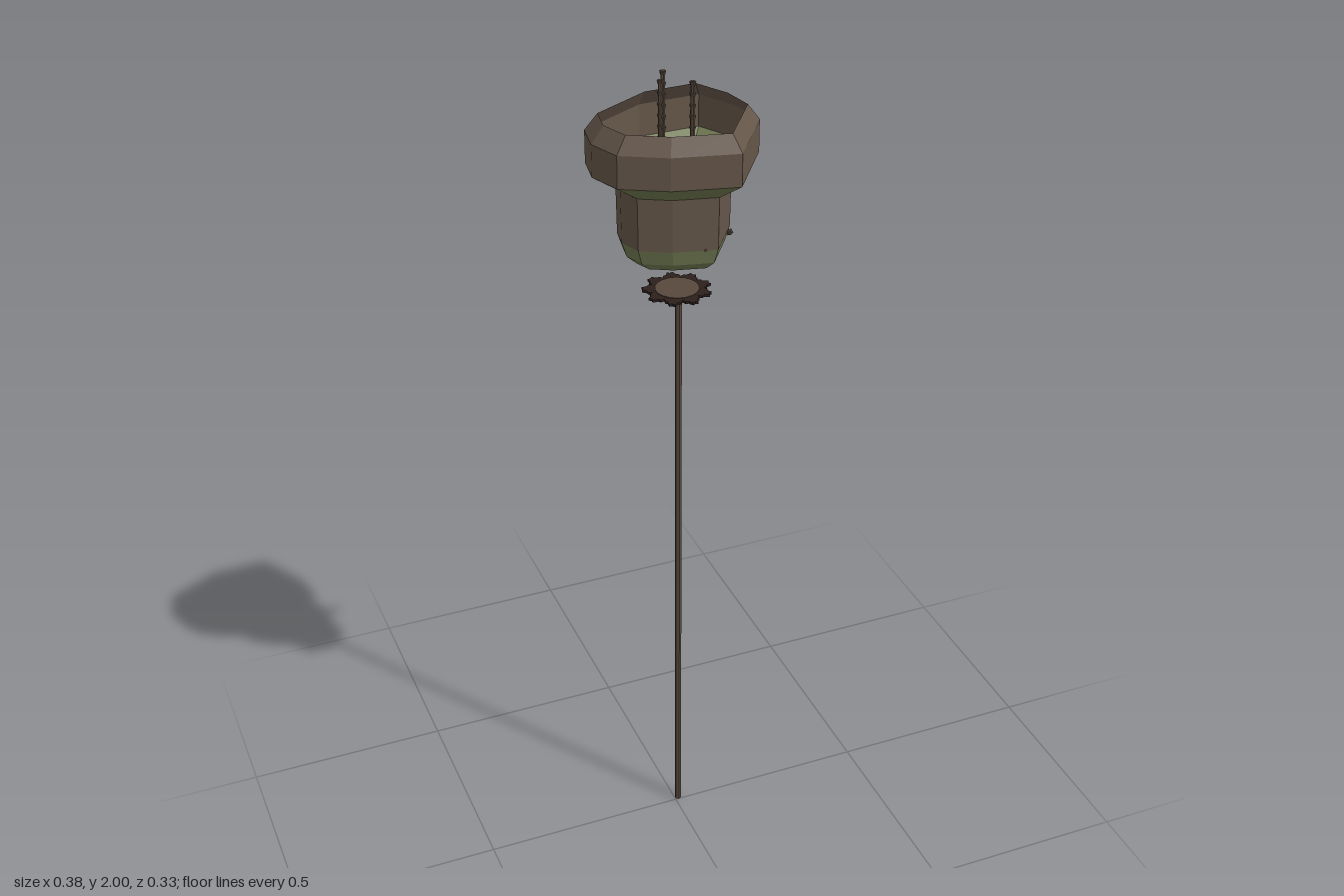
import * as THREE from 'three';

const bark = new THREE.MeshStandardMaterial({ name: 'brown clay', color: 0x66574a, side: THREE.DoubleSide });
const moss = new THREE.MeshStandardMaterial({ name: 'moss green', color: 0x717a52, side: THREE.DoubleSide });
const twig = new THREE.MeshStandardMaterial({ name: 'twig brown', color: 0x57483d });
const dark = new THREE.MeshStandardMaterial({ name: 'dark petal', color: 0x2c201c });
for (const m of [bark, moss, twig, dark]) m.flatShading = true;

// Irregular nine-sided plan of the pot, as x, z
const plan = [[-0.02, -0.162], [0.122, -0.166], [0.173, -0.075], [0.19, 0.01], [0.083, 0.163],
  [-0.063, 0.128], [-0.162, 0.075], [-0.191, 0], [-0.178, -0.077]];

// Shell between scaled copies of the plan, given as [scale, y] from top to bottom
function shell(rings) {
  const pos = [];
  const point = (r, j) => {
    const [x, z] = plan[j % plan.length];
    return [x * rings[r][0], rings[r][1], z * rings[r][0]];
  };
  for (let r = 0; r < rings.length - 1; r++) {
    for (let j = 0; j < plan.length; j++) {
      const a = point(r, j), b = point(r, j + 1), c = point(r + 1, j + 1), d = point(r + 1, j);
      pos.push(...a, ...b, ...c);
      if (rings[r + 1][0] > 0) pos.push(...a, ...c, ...d);
    }
  }
  const g = new THREE.BufferGeometry();
  g.setAttribute('position', new THREE.Float32BufferAttribute(pos, 3));
  g.computeVertexNormals();
  return g;
}

export function createModel() {
  const model = new THREE.Group();
  const add = (name, geo, mat, parent = model) => {
    const m = new THREE.Mesh(geo, mat);
    m.name = name;
    parent.add(m);
    return m;
  };
  // Straight rod between two points
  const rod = (name, from, to, radius, parent, mat = twig) => {
    const a = new THREE.Vector3(...from), b = new THREE.Vector3(...to);
    const m = add(name, new THREE.CylinderGeometry(radius, radius, a.distanceTo(b), 6), mat, parent);
    m.position.copy(a).lerp(b, 0.5);
    m.quaternion.setFromUnitVectors(new THREE.Vector3(0, 1, 0), b.sub(a).normalize());
    return m;
  };

  // Open pot
  const pot = new THREE.Group();
  pot.name = 'pot';
  model.add(pot);
  add('potRim', shell([[0.85, 1.918], [1, 1.88], [1, 1.805]]), bark, pot);
  add('potShelf', shell([[1, 1.805], [0.67, 1.763]]), moss, pot);
  add('potWall', shell([[0.67, 1.763], [0.66, 1.64]]), bark, pot);
  add('potBottom', shell([[0.66, 1.64], [0.6, 1.605], [0.48, 1.585], [0.27, 1.58], [0, 1.58]]), moss, pot);

  // Three upright stems with knots, joined by struts
  const stems = new THREE.Group();
  stems.name = 'stems';
  model.add(stems);
  const feet = [[0.024, 0.034], [-0.036, 0.002], [-0.012, -0.044]];
  feet.forEach(([x, z], i) => {
    rod('stem', [x, 1.59, z], [x, 2, z], 0.005, stems);
    for (let k = 0; k < 16; k++) {
      const knot = add('stemKnot', new THREE.CylinderGeometry(0.0075, 0.0055, 0.008, 6), twig, stems);
      knot.position.set(x, 1.62 + k * 0.025, z);
    }
    const [nx, nz] = feet[(i + 1) % 3];
    rod('strut', [x, 1.66, z], [nx, 1.66, nz], 0.004, stems);
  });

  // Bent side twigs inside the pot
  rod('frontTwig', [0.02, 1.65, 0.03], [0.03, 1.64, 0.102], 0.0045, stems);
  rod('sideTwig', [0, 1.67, -0.03], [0.03, 1.66, 0.01], 0.006, stems);
  rod('sideTwig', [0.01, 1.66, -0.018], [0.055, 1.66, -0.034], 0.0045, stems);
  rod('sideTwig', [0.055, 1.66, -0.034], [0.055, 1.66, -0.084], 0.0045, stems);
  rod('shortTwig', [0.024, 1.65, 0.034], [0.037, 1.66, 0.01], 0.004, stems);

  // Knotted branch that pushes out through the back and the side of the pot
  const path = new THREE.CatmullRomCurve3([[0.005, 1.665, -0.118], [0.04, 1.645, -0.092],
    [0.085, 1.628, -0.062], [0.107, 1.618, -0.036], [0.14, 1.605, -0.028]].map(p => new THREE.Vector3(...p)));
  add('branch', new THREE.TubeGeometry(path, 20, 0.006, 6), twig);
  for (let k = 0; k <= 16; k++) {
    add('branchKnot', new THREE.IcosahedronGeometry(0.0085, 0), twig).position.copy(path.getPoint(k / 16));
  }

  // Lobed disc on top of the pole
  const outline = new THREE.Shape();
  const count = 72;
  for (let k = 0; k < count; k++) {
    const a = k / count * Math.PI * 2;
    const r = 0.07 + 0.008 * Math.cos(a * 9) + (k % 2 ? 0.003 : -0.003);
    outline[k ? 'lineTo' : 'moveTo'](Math.cos(a) * r, Math.sin(a) * r);
  }
  const petals = add('discPetals', new THREE.ExtrudeGeometry(outline, { depth: 0.006, bevelEnabled: false }), dark);
  petals.rotation.x = -Math.PI / 2;
  petals.position.set(0.005, 1.497, -0.005);
  add('discCentre', new THREE.CylinderGeometry(0.05, 0.05, 0.009, 18), twig).position.set(0.005, 1.5, -0.005);

  // Long thin pole
  rod('pole', [0.009, 0, -0.007], [0.009, 1.5, -0.007], 0.008, model);
  return model;
}
